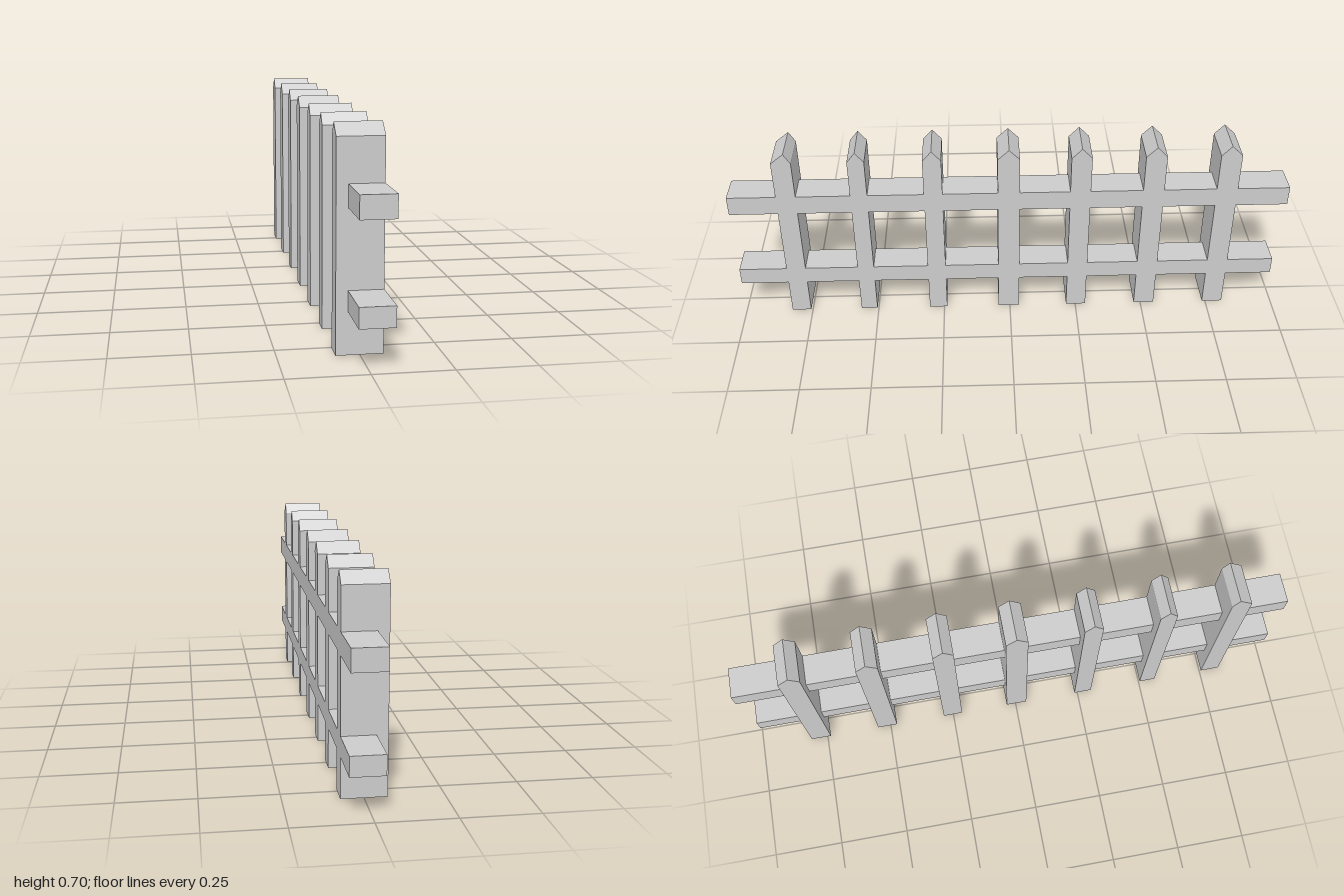
import * as THREE from 'three';

const FRONT = 0.073; // shared outer plane of pickets and rails
const material = new THREE.MeshStandardMaterial({ color: 0xcccccc, flatShading: true });

// Box-like picket with a pointed top, its outline drawn in (z, y) and extruded along x
function makePicket(z0, z1, peak) {
  const shape = new THREE.Shape([
    new THREE.Vector2(z0, 0),
    new THREE.Vector2(z1, 0),
    new THREE.Vector2(z1, 0.662),
    new THREE.Vector2(peak, 0.7),
    new THREE.Vector2(z0, 0.662),
  ]);
  const geometry = new THREE.ExtrudeGeometry(shape, { depth: 0.147, bevelEnabled: false });
  geometry.rotateY(-Math.PI / 2).translate(FRONT, 0, 0);
  return new THREE.Mesh(geometry, material);
}

// Horizontal rail running along z
function makeRail(y0, y1, z0, z1) {
  const rail = new THREE.Mesh(new THREE.BoxGeometry(0.11, y1 - y0, z1 - z0), material);
  rail.position.set(FRONT - 0.055, (y0 + y1) / 2, (z0 + z1) / 2);
  return rail;
}

export function createModel() {
  const fence = new THREE.Group();
  fence.name = 'picketFence';

  // Hand-cut pickets: back edge, front edge, peak along z
  const pickets = [
    [0.757, 0.827, 0.78],
    [0.505, 0.565, 0.535],
    [0.239, 0.305, 0.272],
    [-0.035, 0.043, 0.003],
    [-0.288, -0.215, -0.251],
    [-0.55, -0.475, -0.513],
    [-0.813, -0.738, -0.773],
  ];
  pickets.forEach((p, i) => {
    const picket = makePicket(...p);
    picket.name = `picket${i + 1}`;
    fence.add(picket);
  });

  // Rails, the lower one slightly shorter at the back
  const upperRail = makeRail(0.45, 0.522, -1, 1);
  upperRail.name = 'upperRail';
  const lowerRail = makeRail(0.135, 0.2, -0.982, 1);
  lowerRail.name = 'lowerRail';
  fence.add(upperRail, lowerRail);

  return fence;
}
